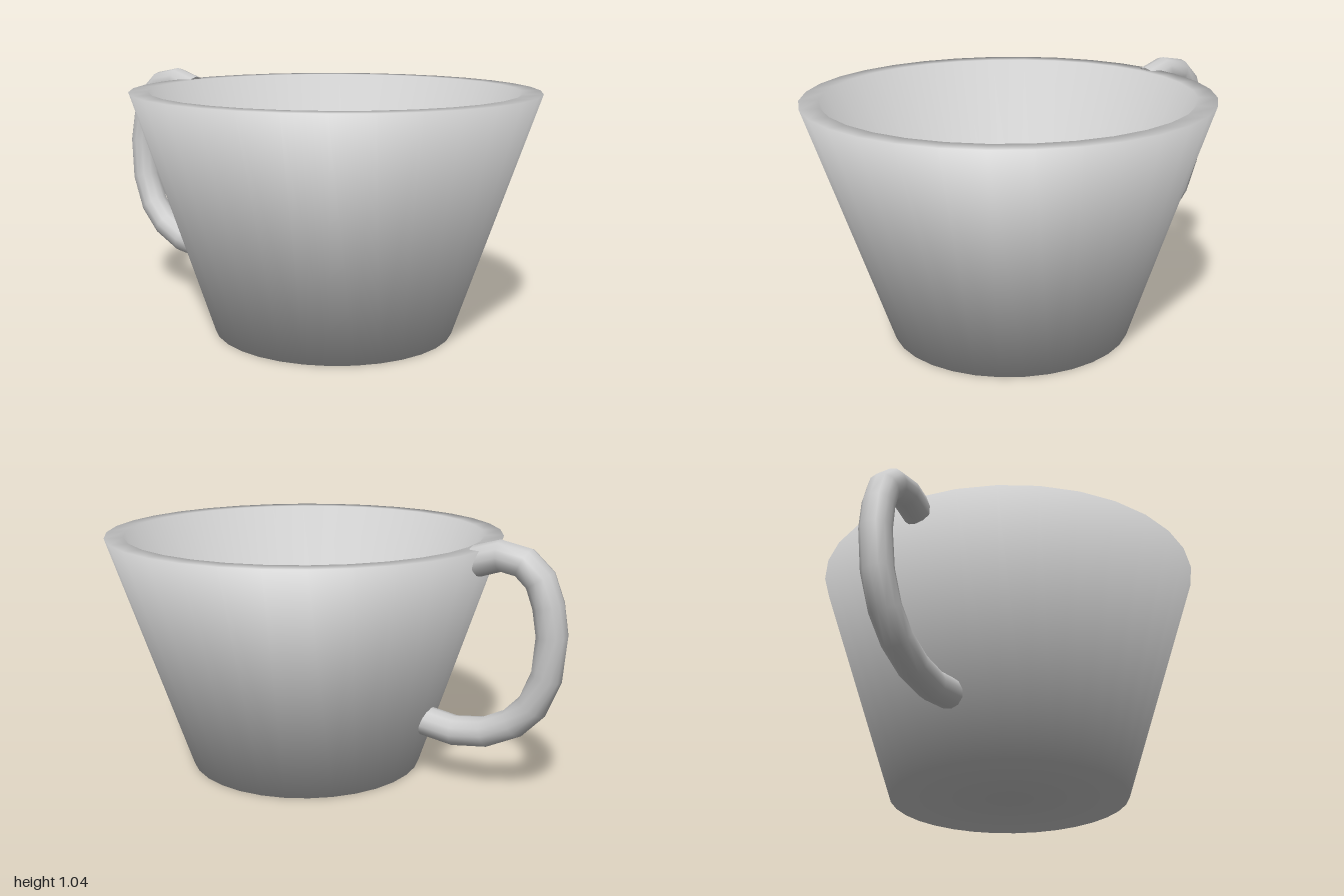
import * as THREE from 'three';

export function createModel() {
  const group = new THREE.Group();
  const material = new THREE.MeshStandardMaterial({ color: 0xcccccc, side: THREE.DoubleSide });

  // Tapered cup: base, outer wall, rim, thicker-footed inner wall, inner floor
  const profile = [[0, 0], [0.5, 0], [0.83, 1], [0.752, 1], [0.41, 0.16], [0, 0.16]]
    .map(([r, y]) => new THREE.Vector2(r, y));
  const cupGeometry = new THREE.LatheGeometry(profile, 32);

  // Soft shading: each ring's normal is the even average of its two neighbouring bands
  const bands = profile.slice(1).map((p, i) => {
    const d = p.clone().sub(profile[i]).normalize();
    return new THREE.Vector2(d.y, -d.x);
  });
  const ringNormals = profile.map((p, i) =>
    (bands[i - 1] ?? bands[i]).clone().add(bands[i] ?? bands[i - 1]).normalize());
  const normals = cupGeometry.attributes.normal;
  for (let i = 0; i < normals.count; i++) {
    const n = ringNormals[i % profile.length];
    const angle = Math.floor(i / profile.length) / 32 * Math.PI * 2;
    normals.setXYZ(i, n.x * Math.sin(angle), n.y, n.x * Math.cos(angle));
  }
  const cup = new THREE.Mesh(cupGeometry, material);
  cup.name = 'cupBody';
  cup.position.z = 0.169;
  group.add(cup);

  // Handle: ear-shaped tube with one ring per path point, leaning slightly sideways
  const path = [
    [0.952, -0.625], [0.983, -0.725], [0.965, -0.82], [0.905, -0.885],
    [0.81, -0.92], [0.695, -0.938], [0.53, -0.923], [0.4, -0.87],
    [0.315, -0.79], [0.257, -0.675], [0.237, -0.54], [0.257, -0.4],
  ].map(([y, z]) => new THREE.Vector3(0.015 + 0.045 * (y - 0.95), y, z));
  const curve = new THREE.CatmullRomCurve3(path);
  curve.getPointAt = curve.getPoint;
  curve.getTangentAt = curve.getTangent;
  const handle = new THREE.Mesh(new THREE.TubeGeometry(curve, path.length - 1, 0.062, 12), material);
  handle.name = 'handle';
  group.add(handle);

  // Disc closing the upper end, which shows beside the rim
  const cap = new THREE.Mesh(new THREE.CircleGeometry(0.06, 12), material);
  cap.name = 'handleUpperEnd';
  cap.position.copy(path[0]);
  cap.quaternion.setFromUnitVectors(new THREE.Vector3(0, 0, 1), curve.getTangent(0).negate());
  group.add(cap);
  return group;
}
